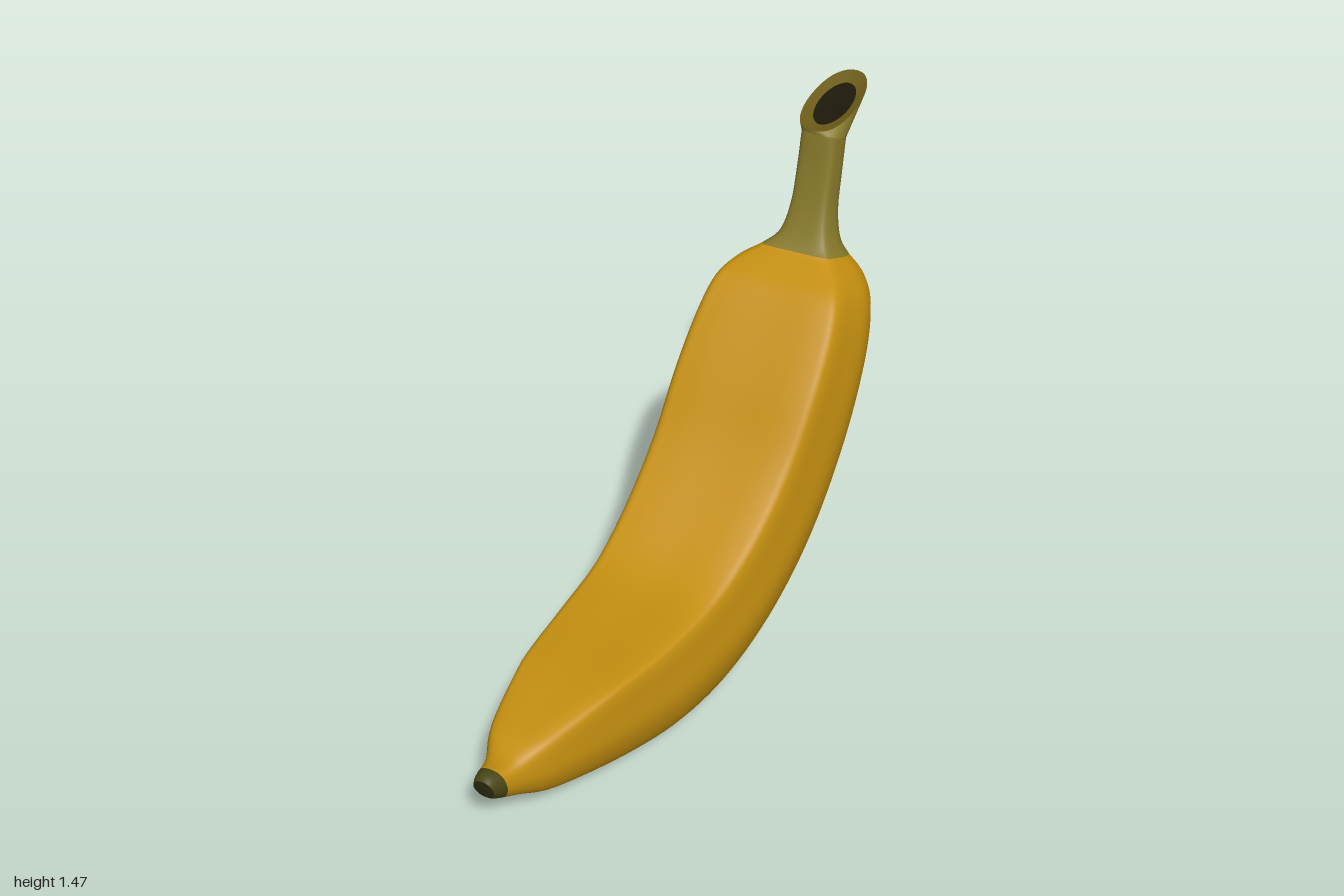
import * as THREE from 'three';

const SIDES = 56;

// Flattened cross-section: u runs across, v runs from the inner face (0) to the outer curve (1)
const profile = new THREE.CatmullRomCurve3([
  [0, 0], [0.7, 0], [0.83, 0.03], [0.93, 0.25], [1, 0.5], [0.86, 0.8], [0.5, 0.97],
  [0, 1], [-0.5, 0.97], [-0.88, 0.8], [-1, 0.45], [-0.99, 0.15], [-0.93, 0.02], [-0.75, 0],
].map(([u, v]) => new THREE.Vector3(u, v, 0)), true, 'centripetal');
const section = Array.from({ length: SIDES }, (_, i) => profile.getPoint(i / SIDES));

// Skin through stations [innerZ, innerY, outerZ, outerY, xMin, xMax, roundness]
function loft(stations, steps) {
  const inner = new THREE.CatmullRomCurve3(stations.map(s => new THREE.Vector3(s[4], s[1], s[0])), false, 'catmullrom');
  const outer = new THREE.CatmullRomCurve3(stations.map(s => new THREE.Vector3(s[5], s[3], s[2])), false, 'catmullrom');
  const rows = (stations.length - 1) * steps;
  const pos = [], index = [];
  for (let i = 0; i <= rows; i++) {
    const a = inner.getPoint(i / rows), b = outer.getPoint(i / rows);
    const k = Math.min(Math.floor(i / steps), stations.length - 2);
    const round = THREE.MathUtils.lerp(stations[k][6], stations[k + 1][6], i / steps - k);
    section.forEach((p, j) => {
      const angle = j / SIDES * Math.PI * 2;
      const u = THREE.MathUtils.lerp(p.x, Math.sin(angle), round);
      const v = THREE.MathUtils.lerp(p.y, 0.5 - 0.5 * Math.cos(angle), round);
      pos.push((a.x + b.x) / 2 + u * (b.x - a.x) / 2, a.y + v * (b.y - a.y), a.z + v * (b.z - a.z));
      if (i < rows) {
        const n = (j + 1) % SIDES, r = i * SIDES, q = r + SIDES;
        index.push(r + j, r + n, q + j, r + n, q + n, q + j);
      }
    });
  }
  const geo = new THREE.BufferGeometry();
  geo.setAttribute('position', new THREE.Float32BufferAttribute(pos, 3));
  geo.setIndex(index);
  geo.computeVertexNormals();
  return geo;
}

// Rows from..to of a skin as their own mesh, keeping the shared smooth normals
function part(name, geo, color, from = 0, to = Infinity) {
  const piece = new THREE.BufferGeometry();
  piece.setAttribute('position', geo.getAttribute('position'));
  piece.setAttribute('normal', geo.getAttribute('normal'));
  piece.setIndex(Array.from(geo.index.array).slice(from * SIDES * 6, to * SIDES * 6));
  const mesh = new THREE.Mesh(piece, new THREE.MeshStandardMaterial({ color, side: THREE.DoubleSide }));
  mesh.name = name;
  return mesh;
}

export function createModel() {
  const group = new THREE.Group();
  group.name = 'banana';

  // Fruit from blossom tip to the top of the stem
  const stations = [
    [1.0, 0.352, 0.995, 0.295, -0.14, -0.08, 1],
    [0.975, 0.358, 0.97, 0.268, -0.15, -0.074, 0.9],
    [0.91, 0.35, 0.9, 0.22, -0.165, -0.05, 0.6],
    [0.82, 0.372, 0.79, 0.15, -0.205, 0.0, 0.25],
    [0.62, 0.395, 0.55, 0.065, -0.24, 0.08, 0],
    [0.4, 0.397, 0.33, 0.015, -0.255, 0.14, 0],
    [0.2, 0.42, 0.1, 0.015, -0.255, 0.18, 0],
    [0.03, 0.51, -0.12, 0.09, -0.25, 0.215, 0],
    [-0.13, 0.65, -0.34, 0.235, -0.243, 0.24, 0],
    [-0.26, 0.82, -0.54, 0.46, -0.235, 0.255, 0],
    [-0.37, 0.95, -0.7, 0.7, -0.22, 0.25, 0],
    [-0.45, 1.025, -0.78, 0.86, -0.2, 0.225, 0],
    [-0.52, 1.06, -0.798, 0.95, -0.165, 0.182, 0.1],
    [-0.573, 1.085, -0.77, 1.02, -0.11, 0.13, 0.2],
    [-0.605, 1.125, -0.75, 1.075, -0.066, 0.1, 0.3],
    [-0.64, 1.2, -0.755, 1.16, -0.048, 0.082, 0.3],
    [-0.67, 1.3, -0.78, 1.26, -0.045, 0.077, 0.3],
    [-0.69, 1.4, -0.805, 1.36, -0.045, 0.075, 0.4],
  ];
  const steps = 6;
  const skin = loft(stations, steps);
  group.add(
    part('blossomTip', skin, 0x4a4716, 0, 2 * steps - 4),
    part('fruit', skin, 0xc48f10, 2 * steps - 4, 13 * steps),
    part('stem', skin, 0x86782a, 13 * steps),
  );

  // Closed end of the blossom tip
  const tip = stations[0];
  group.add(part('tipEnd', loft([[1.0, 0.325, 1.0, 0.325, -0.11, -0.11, 1], tip], 2), 0x2c2a10));

  // Flared, slanted lip where the stem was cut
  const top = stations[stations.length - 1];
  const lip = [-0.69, 1.41, -1.0, 1.476, -0.075, 0.076, 0.8];
  group.add(part('stemLip', loft([top, lip], 4), 0x86782a));

  // Slightly hollow cut face with a dark core
  const rim = [-0.74, 1.41, -0.95, 1.455, -0.048, 0.05, 1];
  const core = [-0.845, 1.428, -0.845, 1.428, 0, 0, 1];
  group.add(part('cutFace', loft([lip, rim], 3), 0x6b5a18));
  group.add(part('cutCore', loft([rim, core], 3), 0x1c180a));
  return group;
}
